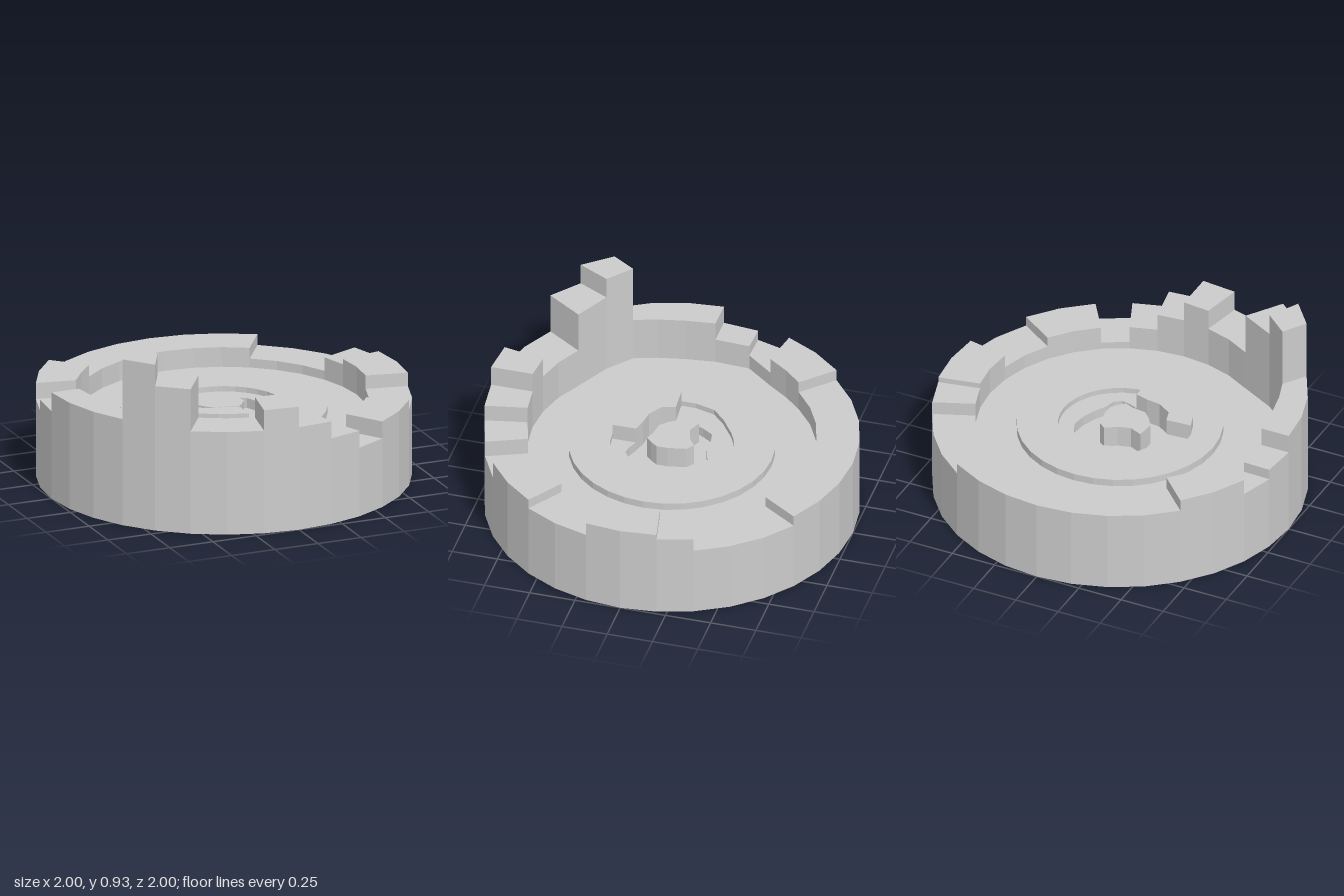
import * as THREE from 'three';

const SIDES = 32;

// point on a circle, counted from the front (+z) towards +x, as [x, z]
const onCircle = (i, r) => {
  const a = (i / SIDES) * Math.PI * 2;
  return [Math.sin(a) * r, Math.cos(a) * r];
};
const circle = (r, from = 0, to = SIDES - 1) =>
  Array.from({ length: to - from + 1 }, (_, k) => onCircle(from + k, r));

// the wall's inner edge, worn back on the left side
const worn = {
  21: [-0.63, -0.45], 22: [-0.71, -0.34], 23: [-0.83, -0.19], 24: [-0.84, 0],
  25: [-0.82, 0.16], 26: [-0.79, 0.31], 27: [-0.75, 0.43], 28: [-0.62, 0.54],
};
const innerPoint = (i) => worn[i % SIDES] ?? onCircle(i, 0.77);

// wall stretches: first side, number of sides, height
const wallRuns = [
  [0, 1, 0.575], [1, 1, 0.48], [2, 1, 0.385], [3, 2, 0.48], [5, 2, 0.425],
  [7, 2, 0.5], [9, 1, 0.47], [10, 3, 0.395], [13, 7, 0.455], [20, 2, 0.52],
  [22, 1, 0.43], [23, 1, 0.49], [24, 3, 0.595], [27, 1, 0.93], [28, 1, 0.81],
  [29, 2, 0.575], [31, 1, 0.69],
];

// outlines around the middle, as [x, z]
const bulge = [
  [-0.29, -0.2], [-0.36, -0.13], [-0.39, -0.02], [-0.39, 0.06],
  [-0.36, 0.15], [-0.25, 0.22], [-0.15, 0.28],
];
const recessEdge = [...circle(0.33, 0, 19), ...bulge];
const pitEdge = [
  [0, 0.2], [0.05, 0.22], [0.1, 0.23], [0.14, 0.2], [0.15, 0.15], [0.19, 0.08], [0.22, 0],
  [0.23, -0.08], [0.2, -0.15], [0.13, -0.2], [0.05, -0.21], [-0.04, -0.18],
  [-0.12, -0.18], [-0.18, -0.17], [-0.22, -0.11], [-0.24, -0.07], [-0.25, 0.05],
  [-0.23, 0.12], [-0.15, 0.17], [-0.07, 0.18],
];
const coreEdge = [
  [-0.17, -0.1], [-0.1, -0.07], [-0.03, -0.09], [0.03, -0.13], [0.07, -0.1],
  [0.08, -0.05], [0.09, 0], [0.09, 0.06], [0.06, 0.1], [0.03, 0.13],
  [-0.02, 0.11], [-0.1, 0.1], [-0.14, 0.06], [-0.18, 0],
];
const crescentEdge = [
  [0, 0.33], [-0.15, 0.28], [-0.25, 0.22], [-0.36, 0.15], [-0.39, 0.06],
  [-0.25, 0.05], [-0.23, 0.12], [-0.15, 0.17], [-0.07, 0.18], [0, 0.2],
];

export function createModel() {
  const group = new THREE.Group();
  const material = new THREE.MeshStandardMaterial({ color: 0xcccccc, flatShading: true });
  const toVectors = (points) => points.map(([x, z]) => new THREE.Vector2(x, -z));

  // upright prism from the ground to a height, with an optional hole
  const prism = (name, outline, height, hole) => {
    const shape = new THREE.Shape(toVectors(outline));
    if (hole) shape.holes.push(new THREE.Path(toVectors(hole)));
    const geometry = new THREE.ExtrudeGeometry(shape, { depth: height, bevelEnabled: false });
    geometry.rotateX(-Math.PI / 2);
    const mesh = new THREE.Mesh(geometry, material);
    mesh.name = name;
    return mesh;
  };

  // broken outer wall
  const wall = new THREE.Group();
  wall.name = 'outerWall';
  wallRuns.forEach(([start, count, height], n) => {
    const inner = [];
    for (let i = start + count; i >= start; i--) inner.push(innerPoint(i));
    wall.add(prism(`wallSection${n + 1}`, [...circle(1, start, start + count), ...inner], height));
  });
  group.add(wall);

  // stepped floor inside the wall
  const floorEdge = Array.from({ length: SIDES }, (_, i) => innerPoint(i));
  group.add(prism('outerFloor', floorEdge, 0.345, circle(0.55)));
  group.add(prism('raisedDisc', circle(0.55), 0.385, recessEdge));
  group.add(prism('sunkenRing', recessEdge, 0.355, pitEdge));

  // central pit with its core and the raised crescent beside it
  group.add(prism('pitFloor', pitEdge, 0.3));
  group.add(prism('core', coreEdge, 0.42));
  group.add(prism('crescent', crescentEdge, 0.445));

  return group;
}
